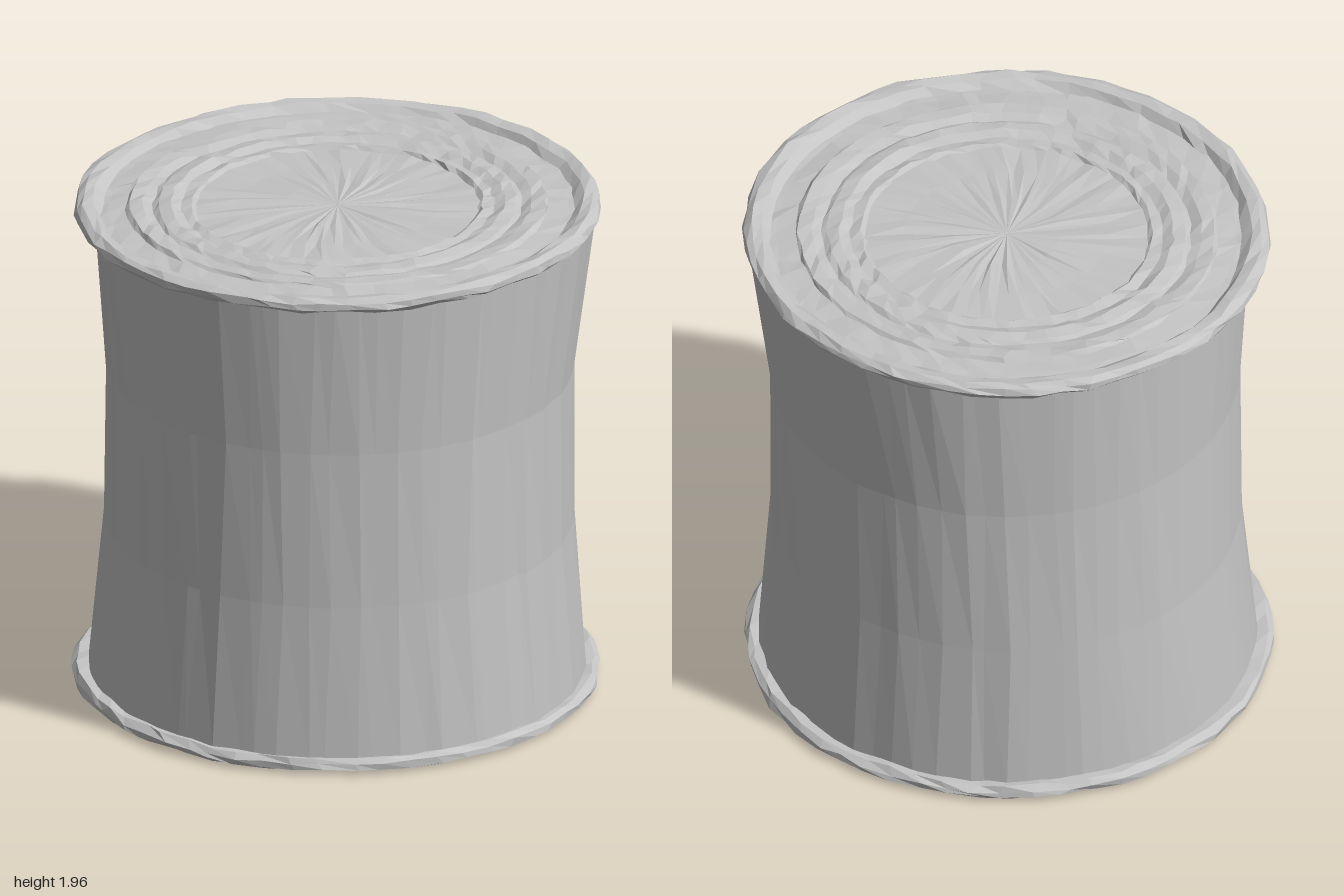
import * as THREE from 'three';

const HEIGHT = 1.97;

// Repeatable noise in -1..1 for a column, row and seed
function noise(i, j, seed) {
  const s = Math.sin(i * 127.1 + j * 311.7 + seed * 74.7) * 43758.5453;
  return (s - Math.floor(s)) * 2 - 1;
}

// Turned surface whose vertices are moved by a rule, then faceted
function crumpledLathe(profile, sides, move) {
  const points = profile.map(([r, y]) => new THREE.Vector2(r, y));
  const lathe = new THREE.LatheGeometry(points, sides);
  const pos = lathe.attributes.position;
  for (let i = 0; i <= sides; i++) {
    for (let j = 0; j < profile.length; j++) {
      const column = i % sides;
      const p = move(column, j, (column / sides) * Math.PI * 2, profile[j]);
      pos.setXYZ(i * profile.length + j, p[0], p[1], p[2]);
    }
  }
  const flat = lathe.toNonIndexed();
  flat.computeVertexNormals();
  return flat;
}

// Wall: four slightly shifted oval hoops, [cx, cz, rx, rz]
function wallGeometry() {
  const hoops = [
    [0.0, -0.002, 0.932, 0.948],
    [0.008, -0.002, 0.881, 0.923],
    [0.011, 0.006, 0.878, 0.911],
    [0.027, 0.012, 0.936, 0.927],
  ];
  const profile = [[1, 0.06], [1, 0.67], [1, 1.29], [1, 1.91]];
  return crumpledLathe(profile, 64, (i, j, a, [, y]) => {
    const [cx, cz, rx, rz] = hoops[j];
    // Creasing is stronger on the +x side
    const rough = 0.004 + 0.007 * Math.max(0, Math.sin(a));
    const k = 1 + rough * (noise(i, 0, 3) * 0.7 + noise(i, j, 5) * 0.5);
    const t = a + 0.028 * noise(i, 0, 8) + 0.015 * noise(i, j, 9);
    return [cx + rx * k * Math.sin(t), y, cz + rz * k * Math.cos(t)];
  });
}

// Lip and pressed lid share one crumpling rule
function endGeometry(profile, sides, seed, tilt, radial, vertical) {
  return crumpledLathe(profile, sides, (i, j, a, [r, y]) => {
    if (r === 0) return [0, y, 0];
    const t = a + 0.03 * noise(i, j, seed);
    const k = r + radial * (noise(i, j, seed + 1) + 0.5 * noise(i, 0, seed + 3));
    const h = y + vertical * noise(i, j, seed + 2);
    const x = k * Math.sin(t);
    return [x, h + tilt * x, k * Math.cos(t)];
  });
}

function makeEnd(name, seed, tilt, metal) {
  const end = new THREE.Group();
  end.name = name;

  // Rolled lip around the edge
  const lip = new THREE.Mesh(endGeometry([
    [0.9, 1.9], [0.965, 1.896], [0.985, 1.915], [0.983, 1.937],
    [0.955, 1.952], [0.915, 1.947], [0.885, 1.92],
  ], 56, seed, tilt, 0.008, 0.006), metal);
  lip.name = name + 'Lip';

  // Disc with shallow concentric ridges
  const disc = new THREE.Mesh(endGeometry([
    [0.925, 1.918], [0.86, 1.921], [0.79, 1.926], [0.778, 1.938], [0.73, 1.935],
    [0.69, 1.924], [0.67, 1.934], [0.625, 1.938], [0.585, 1.925], [0.545, 1.932],
    [0.53, 1.919], [0.38, 1.922], [0.2, 1.924], [0, 1.924],
  ], 64, seed + 20, tilt, 0.006, 0.005), metal);
  disc.name = name + 'Disc';

  end.add(lip, disc);
  return end;
}

export function createModel() {
  const metal = new THREE.MeshStandardMaterial({ color: 0xc4c4c4 });
  metal.name = 'dull tin';

  const can = new THREE.Group();
  can.name = 'dentedCan';

  const wall = new THREE.Mesh(wallGeometry(), metal);
  wall.name = 'wall';

  // The lid sits slightly askew; the base is the same part turned upside down
  const lid = makeEnd('lid', 11, 0.01, metal);
  lid.position.z = 0.008;
  const base = makeEnd('base', 47, 0, metal);
  base.rotation.x = Math.PI;
  base.position.set(-0.004, HEIGHT, -0.012);

  can.add(wall, lid, base);
  return can;
}
